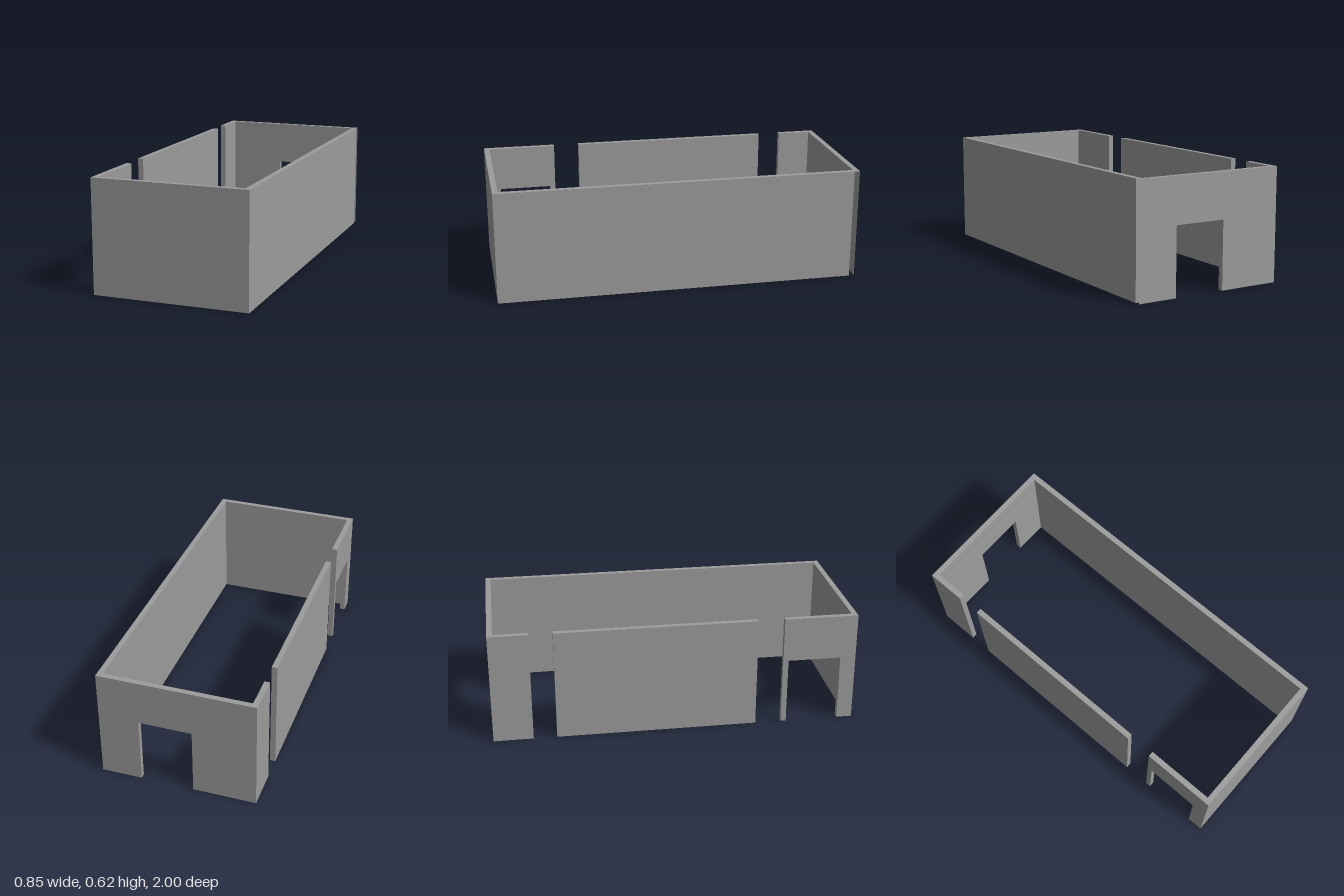
import * as THREE from 'three';

const H = 0.617;        // wall height
const T = 0.03;         // wall thickness
const DOOR_H = 0.37;    // doorway height
const X = 0.425;        // half width of the room

const material = new THREE.MeshStandardMaterial({ color: 0x9c9c9c, flatShading: true, side: THREE.DoubleSide });

// Hollow shell: drops the faces lying at the bottom, and those at x = openX if given
function shellMesh(name, geometry, openX = Infinity) {
  const source = geometry.index ? geometry.toNonIndexed() : geometry;
  const p = source.attributes.position;
  const kept = [];
  for (let i = 0; i < p.count; i += 3) {
    const corners = [i, i + 1, i + 2];
    const atBottom = corners.every((k) => Math.abs(p.getY(k)) < 1e-4);
    const atEnd = corners.every((k) => Math.abs(p.getX(k) - openX) < 1e-4);
    if (!atBottom && !atEnd) corners.forEach((k) => kept.push(p.getX(k), p.getY(k), p.getZ(k)));
  }
  const shell = new THREE.BufferGeometry();
  shell.setAttribute('position', new THREE.Float32BufferAttribute(kept, 3));
  shell.computeVertexNormals();
  const mesh = new THREE.Mesh(shell, material);
  mesh.name = name;
  return mesh;
}

// Plain wall between two corners of its footprint
function wall(name, x0, x1, z0, z1) {
  const geometry = new THREE.BoxGeometry(x1 - x0, H, z1 - z0);
  geometry.translate((x0 + x1) / 2, H / 2, (z0 + z1) / 2);
  return shellMesh(name, geometry);
}

// Wall with a doorway from d0 to d1, drawn along its length a..b and one thickness deep
function doorWall(name, a, b, d0, d1, openX) {
  const outline = [[a, 0], [d0, 0], [d0, DOOR_H], [d1, DOOR_H], [d1, 0], [b, 0], [b, H], [a, H]];
  const shape = new THREE.Shape(outline.map(([u, v]) => new THREE.Vector2(u, v)));
  return shellMesh(name, new THREE.ExtrudeGeometry(shape, { depth: T, bevelEnabled: false }), openX);
}

export function createModel() {
  const group = new THREE.Group();
  group.name = 'roomWalls';

  // Closed front and long walls
  group.add(wall('frontWall', -X, X, 1 - T, 1));
  group.add(wall('longWall', X - T, X, -1 + T, 1 - T));

  // Back wall with a doorway, its end beside the long wall left open
  const back = doorWall('backWall', -X, X, -0.083, 0.205, X);
  back.position.z = -1;
  group.add(back);

  // Open side: corner stub, free-standing panel and a corner piece with a doorway
  group.add(wall('sideWallStub', -X, -X + T, -1 + T, -0.783));
  group.add(wall('sideWallPanel', -X, -X + T, -0.655, 0.448));
  const side = doorWall('sideDoorWall', -(1 - T), -0.593, -0.914, -0.622);
  side.rotation.y = Math.PI / 2;   // length now runs along -z
  side.position.x = -X;
  group.add(side);

  return group;
}
